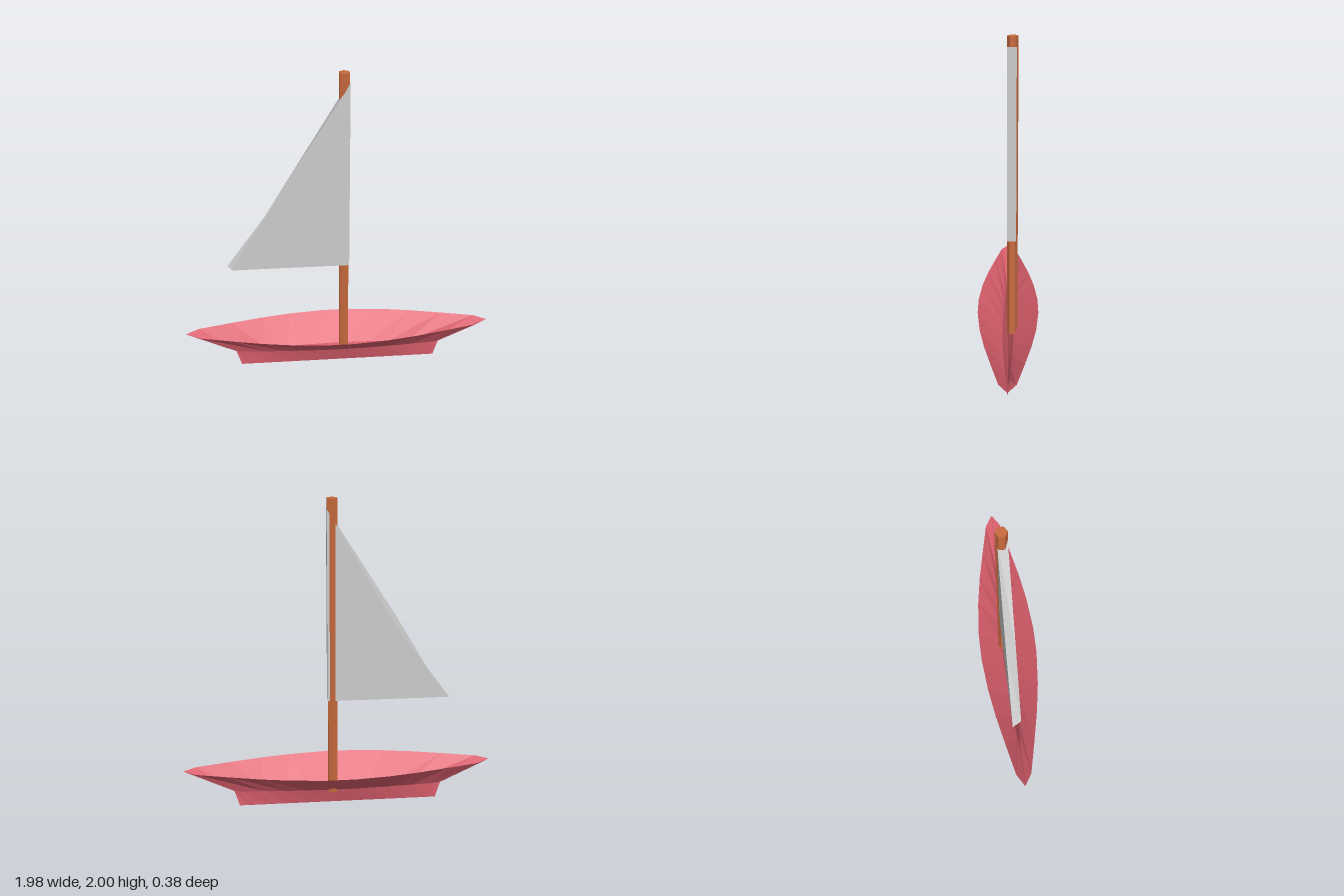
import * as THREE from 'three';

const material = (color) =>
  new THREE.MeshStandardMaterial({ color, flatShading: true, side: THREE.DoubleSide });

// Joins equal-length loops of [x, y, z] points into a skin.
function loft(loops) {
  const n = loops[0].length;
  const index = [];
  for (let r = 0; r < loops.length - 1; r++) {
    for (let i = 0; i < n; i++) {
      const a = r * n + i, b = r * n + (i + 1) % n;
      index.push(a, b, a + n, b, b + n, a + n);
    }
  }
  const geometry = new THREE.BufferGeometry();
  geometry.setAttribute('position', new THREE.Float32BufferAttribute(loops.flat(2), 3));
  geometry.setIndex(index);
  return geometry;
}

// Open hull shell: the rim outline shrinks to a waist, then closes to a keel line.
function hullGeometry() {
  const half = [[0.99, 0], [0.91, 0.05], [0.7, 0.098], [0.5, 0.141], [0.31, 0.172], [0.09, 0.192]];
  const front = [...half, ...half.slice(1).reverse().map(([x, z]) => [-x, z]), [-0.99, 0]];
  const back = front.slice(1, -1).reverse().map(([x, z]) => [x, -z]);
  const outline = [...front, ...back];
  const levels = [
    { y: 0, sx: 0.65, sz: 0 },
    { y: 0.11, sx: 0.68, sz: 0.19 },
    { y: 0.27, sx: 1, sz: 1 },
  ];
  // The loop runs clockwise from above, so levels go from rim to keel.
  return loft(levels.reverse().map(({ y, sx, sz }) => outline.map(([x, z]) => [x * sx, y, z * sz])));
}

// Thick triangular sail whose trailing edge is slightly twisted.
function sailGeometry() {
  const face = (z, footX, midX, midY) =>
    [[0.07, 0.75, z], [0.07, 1.94, z], [midX, midY, z], [footX, 0.75, z]];
  const geometry = loft([face(0.006, -0.66, -0.36, 1.26), face(-0.05, -0.69, -0.34, 1.235)]);
  // Close the front and back faces; the back one bends inwards at its middle corner.
  const index = [...geometry.index.array, 0, 1, 2, 0, 2, 3, 4, 6, 5, 4, 7, 6];
  geometry.setIndex(index);
  return geometry;
}

export function createModel() {
  const boat = new THREE.Group();
  boat.name = 'sailboat';

  const add = (name, geometry, color) => {
    geometry.computeVertexNormals();
    const mesh = new THREE.Mesh(geometry, material(color));
    mesh.name = name;
    boat.add(mesh);
    return mesh;
  };

  add('hull', hullGeometry(), 0xdb5f6d);
  add('sail', sailGeometry(), 0xcccccc);

  // Six-sided mast, its foot just breaking through the hull behind the keel
  const mast = add('mast', new THREE.CylinderGeometry(0.033, 0.033, 1.9, 6), 0xc96a3d);
  mast.position.set(0.038, 1.05, -0.027);

  return boat;
}
